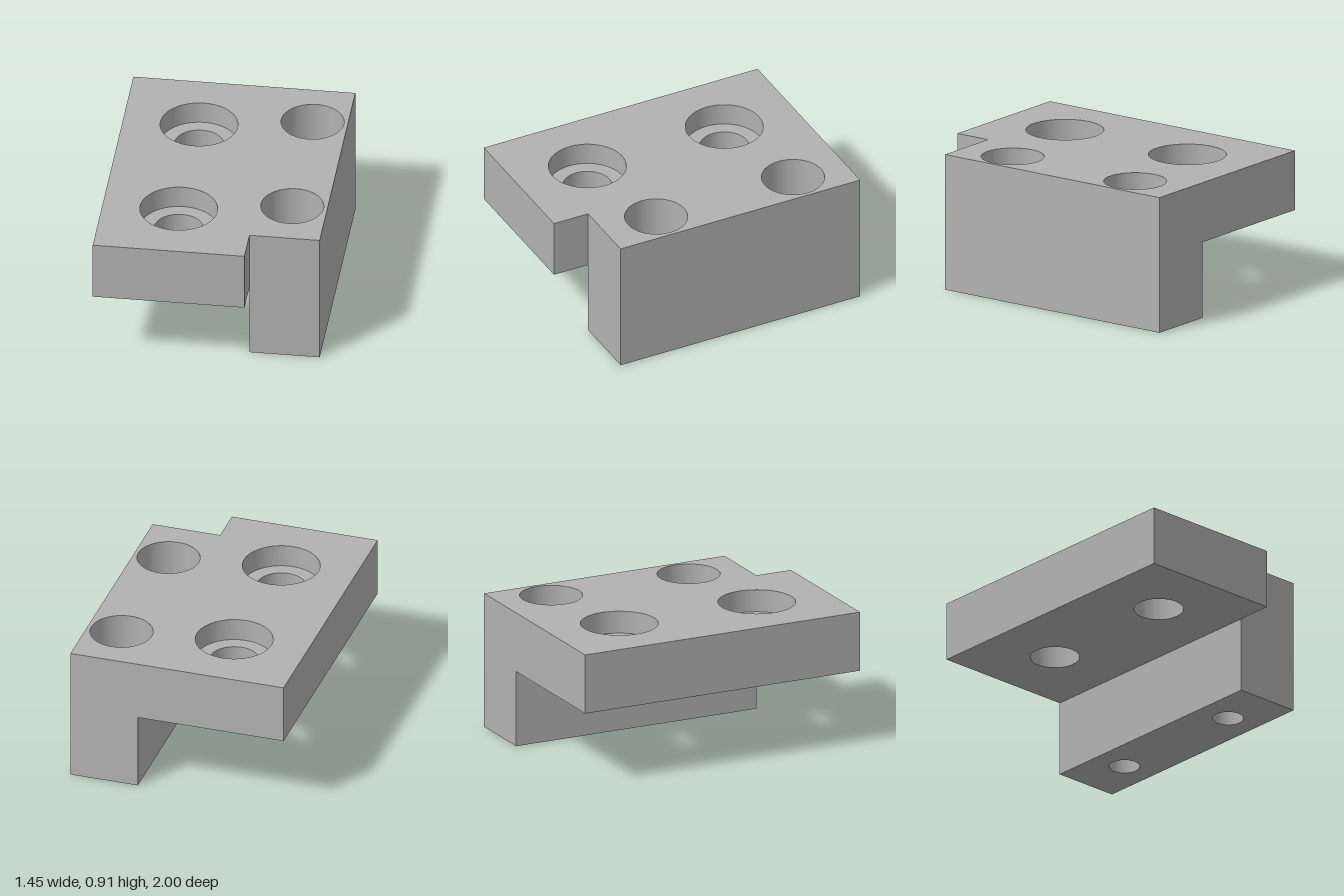
import * as THREE from 'three';
import { mergeGeometries } from 'three/addons/utils/BufferGeometryUtils.js';

const W = 0.727, STEP = 0.267, NOTCH = 0.75; // half width, leg inner side, leg front
const TOP = 0.91, UNDER = 0.51;              // plate top and underside
const SEG = 64;

// Stepped holes: centre, counterbore radius, hole radius, ledge height, lower end
const plateHoles = [-0.5, 0.5].map((z) => ({ x: -0.23, z, R: 0.253, r: 0.16, ledge: 0.76, base: UNDER }));
const legHoles = [-0.628, 0.372].map((z) => ({ x: 0.497, z, R: 0.205, r: 0.1, ledge: 0.4, base: 0 }));

// Flat horizontal face with round holes; outline in [x, z]
function cap(outline, holes, key, y, up) {
  const s = up ? -1 : 1;
  const shape = new THREE.Shape(outline.map(([x, z]) => new THREE.Vector2(x, s * z)));
  for (const h of holes) shape.holes.push(new THREE.Path().absarc(h.x, s * h.z, h[key], 0, Math.PI * 2, true));
  return new THREE.ShapeGeometry(shape, SEG).rotateX(s * Math.PI / 2).translate(0, y, 0);
}

// Upright faces along a path of [x, z], facing outward
function walls(path, y0, y1) {
  return path.slice(1).map(([bx, bz], i) => {
    const [ax, az] = path[i];
    return new THREE.PlaneGeometry(Math.hypot(bx - ax, bz - az), y1 - y0)
      .rotateY(Math.atan2(az - bz, bx - ax))
      .translate((ax + bx) / 2, (y0 + y1) / 2, (az + bz) / 2);
  });
}

// Counterbore wall, ledge and through hole, each with its own sharp edges
function bore({ x, z, R, r, ledge, base }) {
  const profile = [[R, TOP], [R, ledge], [r, ledge], [r, base]].map((p) => new THREE.Vector2(...p));
  return mergeGeometries([0, 1, 2].map((i) =>
    new THREE.LatheGeometry(profile.slice(i, i + 2), SEG))).translate(x, 0, z);
}

export function createModel() {
  const group = new THREE.Group();
  const grey = new THREE.MeshStandardMaterial({ color: 0xb2b2b2 });
  grey.name = 'grey';
  const add = (name, geometry) => {
    const mesh = new THREE.Mesh(geometry, grey);
    mesh.name = name;
    group.add(mesh);
  };

  // Top face with the notched corner
  add('topFace', cap([[-W, -1], [W, -1], [W, NOTCH], [STEP, NOTCH], [STEP, 1], [-W, 1]],
    [...plateHoles, ...legHoles], 'R', TOP, true));

  // Plate sides and underside
  add('plate', mergeGeometries([
    ...walls([[STEP, -1], [-W, -1], [-W, 1], [STEP, 1], [STEP, NOTCH]], UNDER, TOP),
    cap([[-W, -1], [STEP, -1], [STEP, 1], [-W, 1]], plateHoles, 'r', UNDER, false),
  ]));

  // Leg sides and foot
  add('leg', mergeGeometries([
    ...walls([[STEP, NOTCH], [W, NOTCH], [W, -1], [STEP, -1]], 0, TOP),
    ...walls([[STEP, -1], [STEP, NOTCH]], 0, UNDER),
    cap([[STEP, -1], [W, -1], [W, NOTCH], [STEP, NOTCH]], legHoles, 'r', 0, false),
  ]));

  // Stepped holes
  plateHoles.forEach((h) => add('plateBore', bore(h)));
  legHoles.forEach((h) => add('legBore', bore(h)));
  return group;
}
